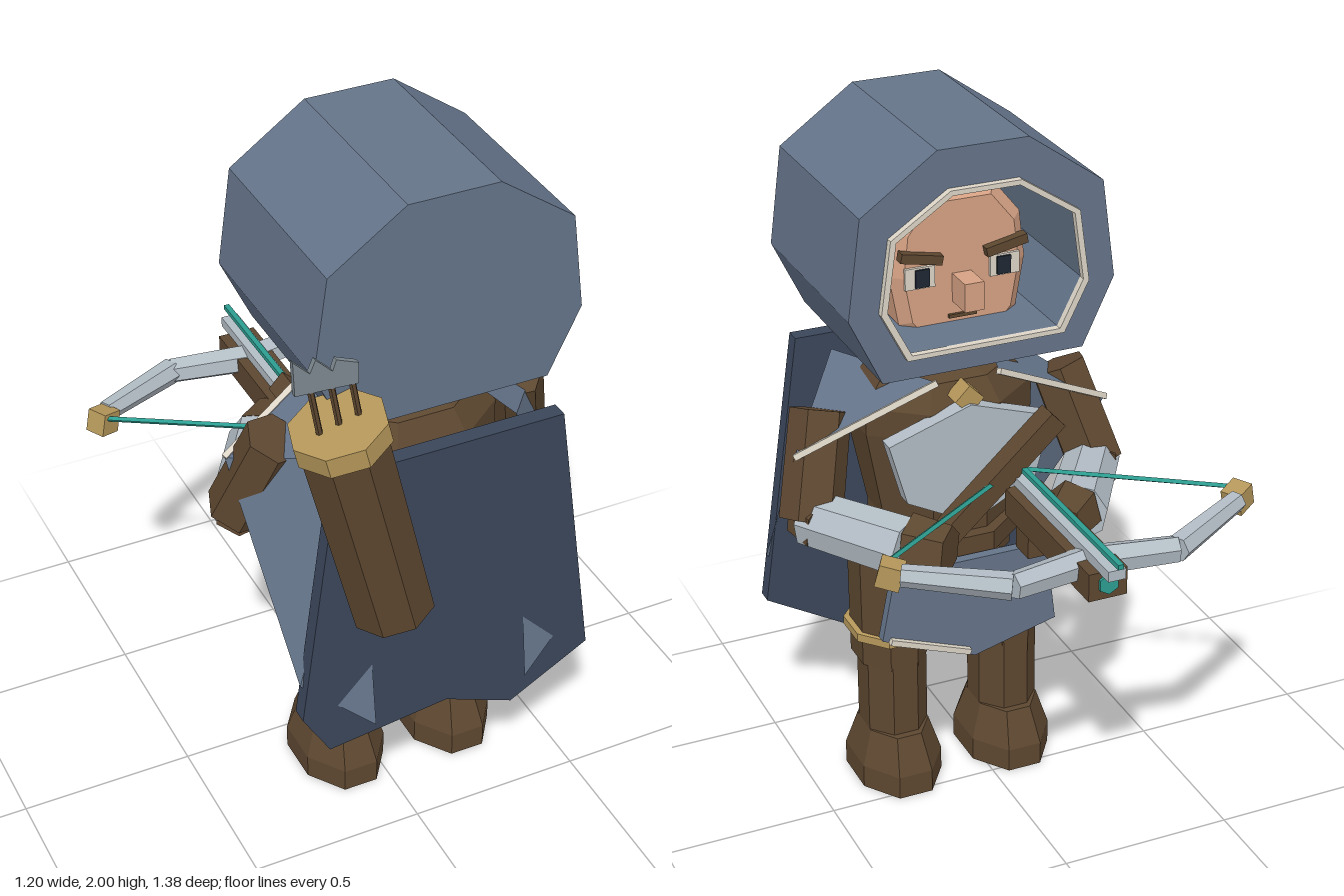
import * as THREE from 'three';

const mat = (name, color) => {
  const m = new THREE.MeshStandardMaterial({ color });
  m.name = name;
  return m;
};

export function createModel() {
  const root = new THREE.Group();
  root.name = 'hoodedArcher';
  const M = {
    hood: mat('slate blue cloth', 0x65748a), cape: mat('dark blue cloth', 0x3a465a),
    leather: mat('brown leather', 0x5d4730), gold: mat('dull gold', 0xb5975a),
    steel: mat('pale steel', 0xb2bcc4), skin: mat('skin', 0xd6a284),
    teal: mat('teal', 0x2d9d91), cream: mat('cream trim', 0xdcd5c7),
    feather: mat('grey feather', 0x7d8990), dark: mat('dark pupil', 0x1f2733),
  };
  M.hood.side = THREE.DoubleSide; // the shoulder cloth is a thin sheet
  const V = (x, y, z) => new THREE.Vector3(x, y, z);
  const CX = 0.08; // the body's middle line
  const UP = V(0, 1, 0);

  // Faceted mesh with hard edges
  function add(name, geo, material) {
    const g = geo.index ? geo.toNonIndexed() : geo;
    g.computeVertexNormals();
    const m = new THREE.Mesh(g, material);
    m.name = name;
    root.add(m);
    return m;
  }
  const box = (name, material, x, y, z, w, h, d, rz = 0) => {
    const m = add(name, new THREE.BoxGeometry(w, h, d), material);
    m.position.set(x, y, z);
    m.rotation.z = rz;
    return m;
  };
  // Tapered prism running from a to b
  function rod(name, material, a, b, r0, r1 = r0, sides = 8, turn = Math.PI / sides) {
    const g = new THREE.CylinderGeometry(r1, r0, a.distanceTo(b), sides);
    g.rotateY(turn);
    const m = add(name, g, material);
    m.position.copy(a).lerp(b, 0.5);
    m.quaternion.setFromUnitVectors(UP, b.clone().sub(a).normalize());
    return m;
  }
  // Flat outline in x/y (clockwise), thickened from z0 to z1
  function plate(name, material, pts, z0, z1, { hole, bevel = 0 } = {}) {
    const v2 = (p) => p.map(([x, y]) => new THREE.Vector2(x, y));
    const shape = new THREE.Shape(v2(pts));
    if (hole) shape.holes.push(new THREE.Path(v2(hole).reverse()));
    const g = new THREE.ExtrudeGeometry(shape, {
      depth: z1 - z0 - 2 * bevel, bevelEnabled: bevel > 0, bevelSegments: 1,
      bevelSize: bevel, bevelThickness: bevel, bevelOffset: -bevel,
    });
    g.translate(0, 0, z0 + bevel);
    return add(name, g, material);
  }
  // Eight-sided stacked profile, [radius, y] from bottom to top
  function turned(name, material, profile, x, z, sx = 1, sz = 1) {
    const pts = profile.map(([r, y]) => new THREE.Vector2(r / Math.cos(Math.PI / 8), y));
    const g = new THREE.LatheGeometry(pts, 8, Math.PI / 8);
    g.scale(sx, 1, sz);
    g.translate(x, 0, z);
    return add(name, g, material);
  }

  // Hood: an eight-sided shell with a recessed opening and a trimmed rim
  const half = [[0.127, 2], [0.34, 1.85], [0.377, 1.575], [0.287, 1.385]];
  const ring = [...half, ...half.map(([x, y]) => [-x, y]).reverse()];
  const outline = (k, ky) => ring.map(([x, y]) => [CX + x * k, 1.67 + (y - 1.6925) * ky]);
  const hoodRing = ring.map(([x, y]) => [CX + x, y]);
  plate('hoodShell', M.hood, hoodRing, -0.125, 0.4, { hole: outline(0.74, 0.69) });
  plate('hoodBack', M.hood, hoodRing, 0.4, 0.46);
  plate('hoodTrim', M.cream, outline(0.78, 0.73), -0.145, -0.125, { hole: outline(0.735, 0.685) });

  // Head, neck and face
  turned('neck', M.skin, [[0.1, 1.24], [0.1, 1.37], [0.108, 1.375], [0.108, 1.4]], CX, 0.175);
  const face = [[0.1, 1.83], [0.18, 1.73], [0.195, 1.6], [0.17, 1.46], [0.1, 1.375]];
  plate('head', M.skin, [...face, ...face.map(([x, y]) => [-x, y]).reverse()]
    .map(([x, y]) => [CX + x, y]), 0.02, 0.36, { bevel: 0.03 });
  box('nose', M.skin, CX, 1.555, -0.02, 0.055, 0.08, 0.09);
  for (const s of [-1, 1]) {
    box('eyeWhite', M.cream, CX + s * 0.122, 1.6, 0.016, 0.085, 0.06, 0.009);
    box('pupil', M.dark, CX + s * 0.117, 1.6, 0.009, 0.04, 0.05, 0.008);
    box('eyebrow', M.leather, CX + s * 0.122, 1.658, 0.01, 0.12, 0.026, 0.03, s * 0.2);
  }
  box('mouth', M.leather, CX, 1.475, 0.016, 0.08, 0.01, 0.009);

  // Torso, belt and chest armour
  turned('torso', M.leather, [[0.15, 0.78], [0.15, 0.85], [0.19, 1.12], [0.19, 1.2], [0.15, 1.27],
    [0.11, 1.285], [0, 1.285]], CX, 0.19, 1.3, 1);
  turned('belt', M.leather, [[0, 0.74], [0.172, 0.74], [0.172, 0.8], [0, 0.8]], CX, 0.175, 1.2);
  turned('hips', M.leather, [[0, 0.69], [0.148, 0.69], [0.148, 0.75]], CX, 0.175, 1.25);
  plate('chestPlate', M.steel, [[0.08, 1.23], [0.32, 1.15], [0.27, 0.97], [0.08, 0.87],
    [-0.11, 0.97], [-0.16, 1.15]], -0.04, 0.01);
  box('collarClasp', M.gold, CX, 1.24, 0, 0.06, 0.06, 0.06, Math.PI / 4);
  box('chestStrap', M.leather, 0.035, 1, -0.075, 0.5, 0.06, 0.065, -0.74);

  // Hanging front cloth with a trim bar
  plate('frontCloth', M.hood, [[-0.15, 0.75], [0.31, 0.75], [0.35, 0.55], [0.07, 0.435],
    [-0.18, 0.5]], -0.035, -0.005);
  rod('frontClothTrim', M.cream, V(0.33, 0.55, -0.045), V(0.09, 0.46, -0.045), 0.012, 0.012, 4);

  // Back cape
  plate('cape', M.cape, [[-0.255, 1.28], [0.4, 1.28], [0.52, 0.46], [0.285, 0.325], [0.08, 0.41],
    [-0.275, 0.365], [-0.355, 0.5]], 0.455, 0.502);

  for (const s of [-1, 1]) {
    const P = (x, y, z) => V(CX + s * x, y, z);

    // Shoulder cloth sweeping back through the cape
    const sheet = [P(0.09, 1.305, -0.02), P(0.465, 1.11, 0.085), P(0.43, 0.6, 0.475),
      P(0.23, 0.43, 0.53), P(0.23, 1.25, 0.412)];
    const fan = [4, 0, 1, 4, 1, 2, 4, 2, 3].map((i) => sheet[i]);
    add('shoulderCloth', new THREE.BufferGeometry().setFromPoints(s > 0 ? fan : fan.reverse()), M.hood);
    rod('shoulderTrim', M.cream, sheet[0], sheet[1], 0.012, 0.012, 4);

    // Arms
    rod('upperArm', M.leather, P(0.355, 1.195, 0.17), P(0.43, 0.92, 0.07), 0.085, 0.088, 6);
    rod('elbow', M.leather, P(0.44, 0.93, 0.11), P(0.4, 0.92, 0.04), 0.07, 0.085, 6);
    rod('bracer', M.steel, P(0.425, 0.92, 0.08), P(0.245, 0.92, -0.19), 0.082, 0.088);
    rod('hand', M.leather, P(0.24, 0.93, -0.18), P(0.16, 0.93, -0.26), 0.086, 0.07, 6);

    // Legs and boots
    const lx = CX + s * 0.173;
    turned('boot', M.leather, [[0, 0], [0.122, 0], [0.122, 0.07], [0.09, 0.175], [0, 0.175]],
      lx, 0.15, 1, 1.42);
    turned('shin', M.leather, [[0.09, 0.16], [0.09, 0.4]], lx, 0.147, 1, 1.15);
    turned('thigh', M.leather, [[0, 0.39], [0.1, 0.39], [0.102, 0.72]], lx, 0.165, 1, 1.18);
    turned('kneeBand', M.gold, [[0.1, 0.465], [0.115, 0.47], [0.115, 0.495], [0.1, 0.5]],
      lx, 0.172, 1, 1.14);
  }

  // Crossbow body
  const BX = -0.047;
  box('crossbowStock', M.leather, BX, 0.95, -0.36, 0.11, 0.08, 0.52);
  box('crossbowGrip', M.leather, BX, 0.88, -0.17, 0.07, 0.12, 0.08);
  box('boltRail', M.steel, BX, 1.003, -0.37, 0.05, 0.03, 0.6);
  box('bolt', M.teal, BX, 1.037, -0.37, 0.016, 0.014, 0.64);
  const gem = add('stockGem', new THREE.CylinderGeometry(0.03, 0.03, 0.012, 6), M.teal);
  gem.rotation.x = Math.PI / 2;
  gem.position.set(BX, 0.955, -0.622);

  // Crossbow limbs, tips and string
  for (const s of [-1, 1]) {
    const P = (x, y, z) => V(BX + s * x, y, z);
    const inner = P(0.02, 0.965, -0.515), bend = P(0.237, 0.965, -0.55), tip = P(0.49, 0.985, -0.415);
    rod('bowLimbInner', M.steel, inner, bend, 0.043, 0.038, 6);
    rod('bowLimbOuter', M.steel, bend, tip, 0.038, 0.03, 6);
    const t = box('bowTip', M.gold, BX + s * 0.508, 0.98, -0.387, 0.065, 0.065, 0.06);
    t.rotation.set(0, s * -0.5, s * 0.25);
    rod('bowString', M.teal, P(0.505, 1, -0.36), P(0, 1.012, -0.04), 0.008, 0.008, 4);
  }

  // Quiver with arrows
  const qTop = V(-0.278, 1.495, 0.557), qLow = V(-0.12, 0.862, 0.557);
  const qBand = qTop.clone().lerp(qLow, 0.09);
  rod('quiver', M.leather, qLow, qBand, 0.114, 0.12, 8, 0.1);
  rod('quiverBand', M.gold, qBand, qTop, 0.13, 0.13, 8, 0.1);
  for (let i = 0; i < 3; i++) {
    const x = -0.355 + i * 0.055;
    rod('arrowShaft', M.leather, V(x + 0.03, 1.47, 0.557), V(x, 1.64, 0.557), 0.009, 0.009, 6);
  }
  plate('arrowFletching', M.feather, [[-0.4, 1.715], [-0.355, 1.67], [-0.34, 1.705], [-0.295, 1.66],
    [-0.285, 1.69], [-0.225, 1.665], [-0.225, 1.605], [-0.395, 1.615]], 0.549, 0.565);

  return root;
}
